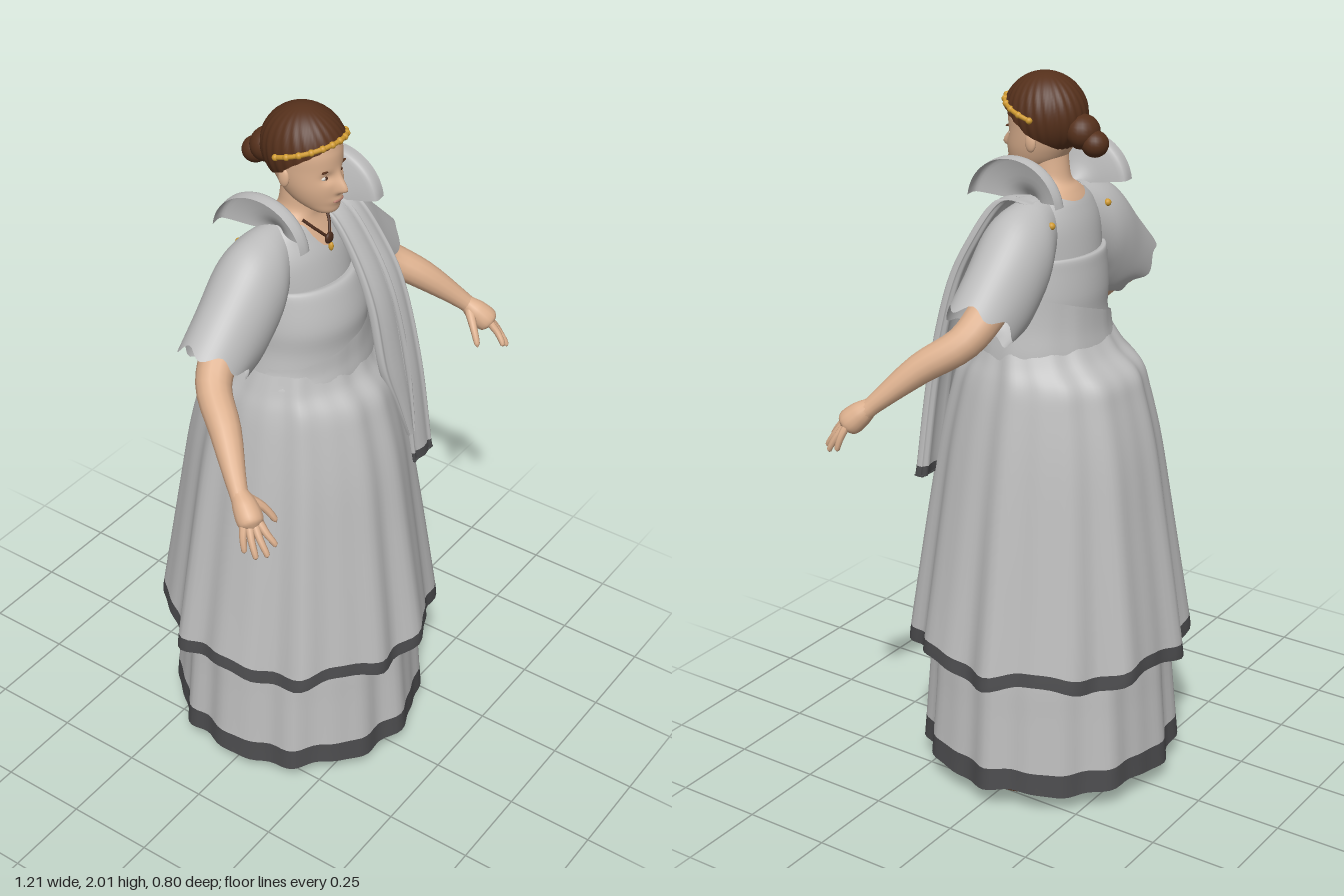
import * as THREE from 'three';

const mat = (name, color, side = THREE.FrontSide) => {
  const m = new THREE.MeshStandardMaterial({ color, side });
  m.name = name;
  return m;
};
const cloth = mat('grey cloth', 0xbcbcbc, THREE.DoubleSide);
const trim = mat('dark trim', 0x4b4b4d, THREE.DoubleSide);
const skin = mat('skin', 0xdcb08e);
const hairMat = mat('brown hair', 0x55301b, THREE.DoubleSide);
const gold = mat('gold', 0xcf9a30);
const leather = mat('dark leather', 0x4a2b1c);
const lip = mat('lip', 0xb98070);
const eyeWhite = mat('eye white', 0xd8d4cc);
const { sin, cos, PI, max, exp, pow } = Math;

// Smooth interpolation through rows of numbers, t from 0 to 1
function at(rows, t) {
  const n = rows.length - 1, s = Math.min(max(t, 0), 1) * n;
  const i = Math.min(Math.floor(s), n - 1), f = s - i;
  const r = k => rows[Math.min(max(k, 0), n)];
  return rows[i].map((b, k) => {
    const a = r(i - 1)[k], c = r(i + 1)[k], d = r(i + 2)[k];
    return b + 0.5 * f * (c - a + f * (2 * a - 5 * b + 4 * c - d + f * (3 * (b - c) + d - a)));
  });
}

// Grid surface from f(u, v); closed wraps u
function surf(f, nu, nv, closed = true) {
  const pos = [], idx = [], w = closed ? nu : nu + 1;
  for (let j = 0; j <= nv; j++) for (let i = 0; i < w; i++) pos.push(...f(i / nu, j / nv));
  for (let j = 0; j < nv; j++) for (let i = 0; i < nu; i++) {
    const a = j * w + i, b = j * w + (i + 1) % w, c = a + w, d = b + w;
    idx.push(a, b, d, a, d, c);
  }
  const g = new THREE.BufferGeometry();
  g.setAttribute('position', new THREE.Float32BufferAttribute(pos, 3));
  g.setIndex(idx);
  g.computeVertexNormals();
  return g;
}

// Upright body of elliptical rows [y, rx, rz, cz, foldDepth, hemWave]
const body = (rows, phase = 0) => (u, v) => {
  const a = u * 2 * PI;
  const [y, rx, rz, cz = 0, fold = 0, wave = 0] = at(rows, v);
  const k = fold * (sin(12 * a + phase) + 0.6 * sin(19 * a + 1 + phase) + 0.4 * cos(7 * a));
  return [(rx + k) * sin(a), y + wave * sin(7 * a + phase), cz + (rz + k) * cos(a)];
};

// Round limb through points [x, y, z, radius]
function limb(pts, sides = 14, steps = 20) {
  const curve = new THREE.CatmullRomCurve3(pts.map(p => new THREE.Vector3(...p)));
  const fr = curve.computeFrenetFrames(steps);
  return surf((u, v) => {
    const a = u * 2 * PI, j = Math.round(v * steps), r = at(pts, v)[3];
    return curve.getPoint(v).addScaledVector(fr.normals[j], r * cos(a))
      .addScaledVector(fr.binormals[j], r * sin(a)).toArray();
  }, sides, steps);
}

function ball(x, y, z, rx, ry = rx, rz = rx) {
  return new THREE.SphereGeometry(1, 20, 14).scale(rx, ry, rz).translate(x, y, z);
}

function mirror(geo) {
  const g = geo.clone().scale(-1, 1, 1), ix = g.index.array;
  for (let i = 0; i < ix.length; i += 3) [ix[i], ix[i + 1]] = [ix[i + 1], ix[i]];
  g.computeVertexNormals();
  return g;
}

export function createModel() {
  const model = new THREE.Group();
  model.name = 'robedWoman';
  const add = (name, geo, m) => {
    const mesh = new THREE.Mesh(geo, m);
    mesh.name = name;
    model.add(mesh);
  };
  const pair = (name, geo, m) => {
    add(name + 'Left', geo, m);
    add(name + 'Right', mirror(geo), m);
  };
  const part = (f, v0, v1) => (u, v) => f(u, v0 + (v1 - v0) * v);

  // Two layered skirts, each with a dark hem
  const under = body([[0.055, 0.358, 0.358, 0, 0.008, 0.007], [0.12, 0.352, 0.352, 0, 0.008, 0.004],
    [0.27, 0.34, 0.34, 0, 0.007, 0], [0.42, 0.328, 0.328, 0, 0.006, 0], [0.65, 0.29, 0.29, 0, 0.004, 0]], 1);
  add('underskirt', surf(part(under, 0.25, 1), 120, 16), cloth);
  add('underskirtHem', surf(part(under, 0, 0.25), 120, 4), trim);
  const over = body([[0.395, 0.385, 0.388, 0, 0.011, 0.014], [0.435, 0.379, 0.384, 0, 0.011, 0.012],
    [0.6, 0.352, 0.362, 0, 0.009, 0.004], [0.8, 0.32, 0.333, 0, 0.007, 0], [1.0, 0.286, 0.303, 0, 0.005, 0],
    [1.14, 0.258, 0.27, 0, 0.004, 0], [1.21, 0.24, 0.246, 0, 0.004, 0], [1.26, 0.22, 0.195, 0.008, 0.003, 0],
    [1.31, 0.2, 0.165, 0.015, 0.002, 0]], 0);
  add('overskirt', surf(part(over, 0.125, 1), 120, 40), cloth);
  add('overskirtHem', surf(part(over, 0, 0.125), 120, 5), trim);

  // Bodice, diagonal waist wrap, and chest cloth with an open neckline
  add('bodice', surf(body([[1.28, 0.2, 0.165, 0.012], [1.36, 0.184, 0.158, 0.015], [1.43, 0.182, 0.162, 0.015],
    [1.5, 0.172, 0.152, 0.008], [1.535, 0.165, 0.142, 0.002], [1.536, 0.155, 0.125, 0]]), 64, 24), cloth);
  const wrap = body([[0, 0.213, 0.178, 0.014, 0.001], [0.5, 0.198, 0.17, 0.015, 0.001], [1, 0.19, 0.168, 0.016, 0.001]]);
  add('waistWrap', surf((u, v) => {
    const [x, , z] = wrap(u, v);
    return [x, 1.27 + v * (0.115 + 0.33 * x), z];
  }, 64, 10), cloth);
  const chestRows = [[1.4, 0.165, 0.13, 0], [1.5, 0.165, 0.125, 0], [1.6, 0.165, 0.108, -0.005],
    [1.66, 0.135, 0.085, -0.01], [1.695, 0.09, 0.068, -0.008]];
  const chest = body(chestRows);
  add('chestCloth', surf((u, v) => {
    const c = cos(u * 2 * PI);
    return chest(u, v * (1 - 0.42 * pow(max(0, c), 12) - 0.18 * pow(max(0, -c), 4)));
  }, 64, 24), cloth);
  add('neckAndChest', surf(body([...chestRows.map(([y, a, b, c]) => [y, a * 0.96, b * 0.96, c]),
    [1.72, 0.056, 0.056, 0], [1.76, 0.05, 0.054, 0.005], [1.81, 0.05, 0.055, 0.01]]), 48, 32), skin);

  // Wide scalloped sleeves: rows of upper point, lower point, half depth
  const sleeveRows = [[0.07, 1.695, 0.14, 1.45, 0.07], [0.15, 1.69, 0.17, 1.42, 0.095],
    [0.235, 1.66, 0.195, 1.385, 0.1], [0.335, 1.565, 0.225, 1.355, 0.095], [0.425, 1.48, 0.265, 1.345, 0.09]];
  pair('sleeve', surf((u, v) => {
    const a = u * 2 * PI, [ux, uy, lx, ly, d] = at(sleeveRows, v), c = cos(a);
    const w = 0.01 * pow(v, 4) * sin(6 * a);
    return [(ux + lx) / 2 + (ux - lx) / 2 * c + w, (uy + ly) / 2 + (uy - ly) / 2 * c - w, -0.018 + d * sin(a)];
  }, 48, 20), cloth);

  // Upright fan flaps on the shoulders
  const flapRows = [[0.095, 0.015], [0.12, 0.05], [0.137, 0.105], [0.15, 0.13], [0.185, 0.128]];
  pair('shoulderFlap', surf((u, v) => {
    const a = (u - 0.5) * 2.9, [x, r] = at(flapRows, v);
    return [x, 1.68 + r * cos(a), 1.07 * r * sin(a)];
  }, 28, 14, false), cloth);

  // Scarf hanging from the left shoulder: rows [y, z, inner x, outer x]
  const strip = rows => (u, v) => {
    const a = -u * 2 * PI, [y, z, x0, x1] = at(rows, v), h = (x1 - x0) / 2;
    const q = t => Math.sign(t) * pow(Math.abs(t), 0.5);
    return [x0 + h + h * q(cos(a)), y, z + 0.014 * q(sin(a)) + 0.004 * sin(5 * PI * (0.5 + cos(a) / 2))];
  };
  const inner = strip([[1.69, -0.03, 0.05, 0.13], [1.685, 0.05, 0.045, 0.13], [1.58, 0.125, 0.05, 0.145],
    [1.44, 0.185, 0.052, 0.16], [1.25, 0.222, 0.06, 0.18], [1.12, 0.24, 0.105, 0.18], [1.0, 0.25, 0.15, 0.18]]);
  const outer = strip([[1.69, -0.03, 0.1, 0.165], [1.685, 0.05, 0.1, 0.17], [1.58, 0.12, 0.12, 0.195],
    [1.44, 0.18, 0.135, 0.215], [1.2, 0.23, 0.145, 0.235], [0.93, 0.255, 0.168, 0.262], [0.9, 0.258, 0.17, 0.267]]);
  add('scarfInner', surf(inner, 32, 36), cloth);
  add('scarfOuter', surf(part(outer, 0, 0.835), 32, 36), cloth);
  add('scarfEnd', surf(part(outer, 0.835, 1), 32, 3), trim);
  add('scarfEndCap', new THREE.BoxGeometry(0.095, 0.004, 0.027).translate(0.218, 0.901, 0.258), trim);

  // Arms and hands
  pair('arm', limb([[0.2, 1.53, -0.02, 0.055], [0.31, 1.44, -0.015, 0.052], [0.385, 1.373, 0.01, 0.047],
    [0.455, 1.305, 0.1, 0.041], [0.525, 1.22, 0.185, 0.026], [0.545, 1.19, 0.215, 0.024]]), skin);
  pair('palm', limb([[0.532, 1.212, 0.195, 0.022], [0.545, 1.185, 0.225, 0.033], [0.56, 1.155, 0.255, 0.033],
    [0.567, 1.14, 0.268, 0.004]]), skin);
  const tips = [[0.6, 1.09, 0.262], [0.594, 1.08, 0.293], [0.574, 1.083, 0.314], [0.545, 1.1, 0.318]];
  tips.forEach(([x, y, z], i) => {
    const b = [0.578 - i * 0.01, 1.158, 0.245 + i * 0.009];
    pair('finger' + (i + 1), limb([[...b, 0.011], [(b[0] + x) / 2 + 0.004, (b[1] + y) / 2 + 0.006, (b[2] + z) / 2, 0.0095],
      [x, y + 0.006, z, 0.007], [x, y, z, 0.001]], 8, 9), skin);
  });
  pair('thumb', limb([[0.528, 1.198, 0.21, 0.015], [0.498, 1.165, 0.245, 0.011], [0.482, 1.125, 0.27, 0.008],
    [0.48, 1.115, 0.274, 0.001]], 8, 9), skin);

  // Head with nose, sockets and brow shaped by rule
  const skull = body([[1.725, 0.004, 0.004, 0.085], [1.732, 0.034, 0.034, 0.08], [1.76, 0.058, 0.07, 0.05],
    [1.8, 0.073, 0.09, 0.034], [1.85, 0.08, 0.1, 0.02], [1.9, 0.081, 0.1, 0.018], [1.95, 0.066, 0.085, 0.015],
    [1.98, 0.02, 0.02, 0.01]]);
  add('head', surf((u, v) => {
    const p = skull(u, v), [x, y, z] = p, bell = (t, w) => exp(-t * t / (w * w));
    if (z > 0.03) {
      p[2] += 0.026 * bell(x, 0.012) * bell(y - 1.797, y > 1.797 ? 0.032 : 0.009);
      p[2] -= 0.009 * bell(Math.abs(x) - 0.031, 0.016) * bell(y - 1.835, 0.013);
      p[2] += 0.005 * bell(x, 0.025) * bell(y - 1.767, 0.011);
    }
    return p;
  }, 96, 64), skin);
  pair('ear', ball(0.08, 1.828, 0.01, 0.009, 0.026, 0.016), skin);
  pair('eye', ball(0.032, 1.834, 0.1, 0.013, 0.006, 0.007), eyeWhite);
  pair('iris', ball(0.032, 1.834, 0.1045, 0.0055, 0.0055, 0.004), leather);
  pair('eyebrow', ball(0.034, 1.854, 0.106, 0.018, 0.003, 0.005).rotateY(0), hairMat);
  add('lips', ball(0, 1.766, 0.121, 0.021, 0.006, 0.006), lip);

  // Hair cap with fine waves, low bun, and gold headband
  const onHair = (a, y, s) => {
    const r = Math.sqrt(max(0, 1 - pow((y - 1.89) / 0.11, 2))) * s;
    return [0.1 * r * sin(a), y, 0.015 + 0.114 * r * cos(a)];
  };
  add('hair', surf((u, v) => {
    const a = u * 2 * PI, c = cos(a);
    const edge = c > 0 ? 1.85 + 0.075 * pow(c, 0.8) : 1.85 + 0.05 * c;
    const phi = Math.acos((edge - 1.89) / 0.11) * (1 - v);
    return onHair(a, 1.89 + 0.11 * cos(phi), 1 + 0.018 * sin(26 * a + 9 * v) * sin(phi));
  }, 120, 28), hairMat);
  add('bun', ball(0, 1.855, -0.098, 0.05, 0.046, 0.045), hairMat);
  add('bunKnot', ball(0, 1.828, -0.136, 0.037, 0.035, 0.036), hairMat);
  const bandAt = t => [...onHair(t * 1.7, 1.895 + 0.036 * cos(t * 1.7), 1.02), 0.0065];
  add('headband', limb(Array.from({ length: 13 }, (_, i) => bandAt(i / 6 - 1)), 8, 48), gold);
  for (let i = -6; i <= 6; i++) add('headbandBead', ball(...bandAt(i / 6).slice(0, 3), 0.009), gold);

  // Necklace and shoulder pins
  add('necklace', limb([[-0.05, 1.705, 0.045, 0.004], [-0.025, 1.672, 0.077, 0.004], [0, 1.65, 0.09, 0.004],
    [0.025, 1.672, 0.077, 0.004], [0.05, 1.705, 0.045, 0.004]], 8, 24), leather);
  add('pendant', ball(0, 1.645, 0.094, 0.016, 0.016, 0.008), leather);
  add('pendantDrop', ball(0, 1.622, 0.1, 0.007, 0.012, 0.007), gold);
  pair('shoulderPin', ball(0.135, 1.635, -0.092, 0.01), gold);

  // Legs, feet and sandals
  pair('leg', limb([[0.215, 0.03, -0.055, 0.034], [0.213, 0.1, -0.055, 0.034], [0.2, 0.3, -0.06, 0.052],
    [0.16, 0.55, -0.03, 0.058], [0.12, 0.85, 0, 0.075]]), skin);
  pair('foot', limb([[0.212, 0.04, -0.1, 0.005], [0.213, 0.042, -0.08, 0.028], [0.215, 0.046, 0, 0.034],
    [0.218, 0.036, 0.08, 0.036], [0.22, 0.028, 0.135, 0.03], [0.22, 0.025, 0.15, 0.005]]), skin);
  for (let i = 0; i < 5; i++) {
    pair('toe' + (i + 1), ball(0.184 + i * 0.0185, 0.026, 0.155 - i * i * 0.0025, 0.012 - i * 0.0008, 0.011, 0.02), skin);
  }
  pair('sandalSole', new THREE.CylinderGeometry(1, 1, 0.015, 32).scale(0.054, 1, 0.145).translate(0.217, 0.0075, 0.04), leather);
  const strap = (r, tube, x, y, z, tilt) => new THREE.TorusGeometry(r, tube, 8, 28).rotateX(tilt).translate(x, y, z);
  pair('ankleStrap', strap(0.036, 0.008, 0.214, 0.085, -0.055, PI / 2), leather);
  pair('toeStrap', strap(0.036, 0.008, 0.219, 0.034, 0.1, 0), leather);
  pair('instepStrap', strap(0.036, 0.007, 0.216, 0.045, 0.03, -0.3), leather);
  return model;
}
